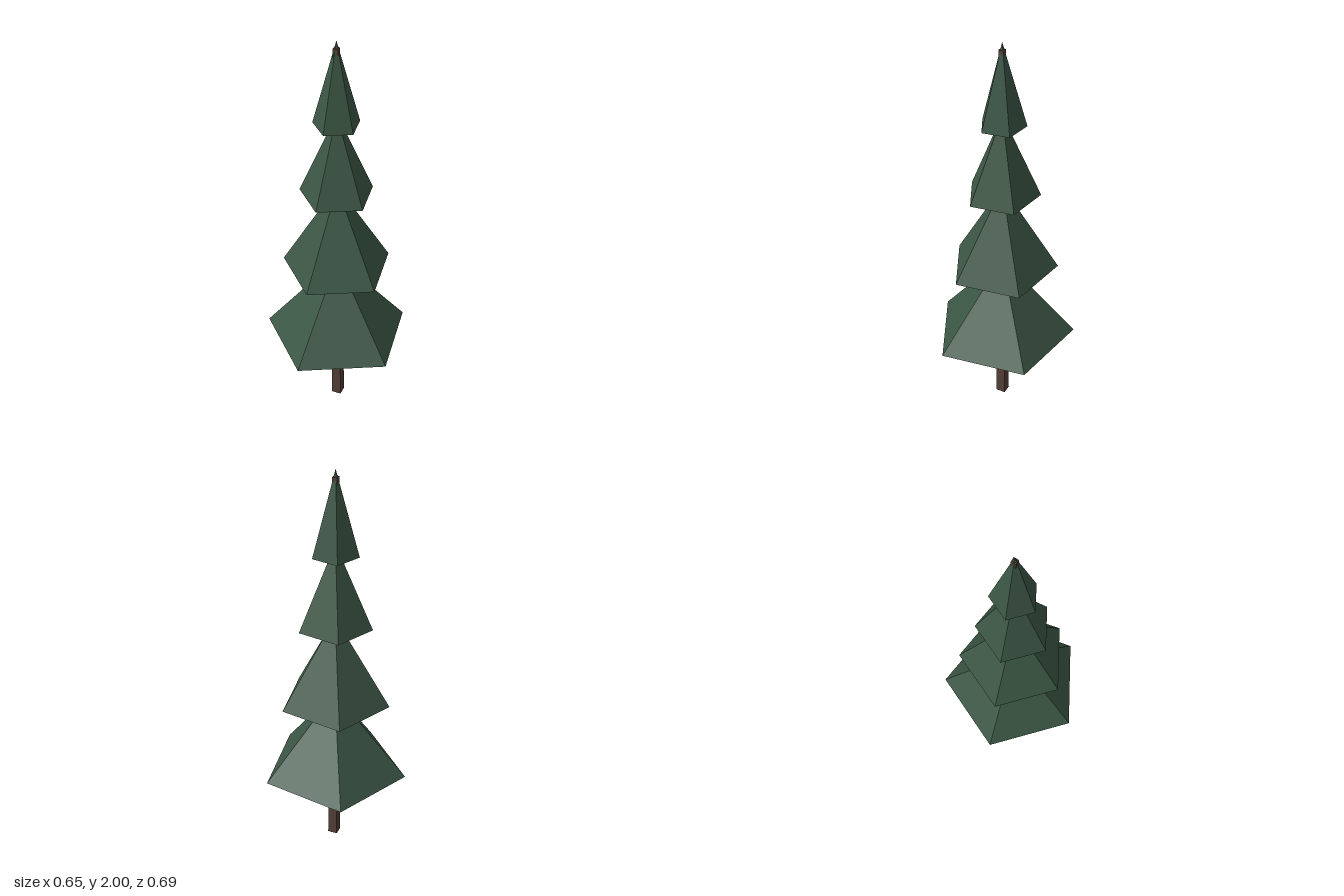
import * as THREE from 'three';

const AXIS_X = -0.0345; // the five-sided tiers are off-centre in their bounding box

export function createModel() {
  const tree = new THREE.Group();
  tree.name = 'pineTree';

  const needles = new THREE.MeshStandardMaterial({ color: 0x3b5644 });
  needles.name = 'needleGreen';
  const bark = new THREE.MeshStandardMaterial({ color: 0x553f38 });
  bark.name = 'barkBrown';

  // Tapered solid with one corner pointing along +x and flat facets
  function addTapered(name, material, sides, rTop, rBottom, y0, y1) {
    const tapered = new THREE.CylinderGeometry(rTop, rBottom, y1 - y0, sides, 1, false, Math.PI / 2);
    const geometry = tapered.toNonIndexed();
    geometry.computeVertexNormals();
    const mesh = new THREE.Mesh(geometry, material);
    mesh.name = name;
    mesh.position.set(AXIS_X, (y0 + y1) / 2, 0);
    tree.add(mesh);
  }

  // Square trunk running up through every tier, just breaking through the tip
  addTapered('trunk', bark, 4, 0.017, 0.034, 0, 1.965);

  // Foliage tiers, bottom to top: radius, base height, apex height
  const tiers = [
    [0.3615, 0.415, 0.86],
    [0.27, 0.82, 1.275],
    [0.18, 1.232, 1.65],
    [0.112, 1.595, 2.0],
  ];
  tiers.forEach(([radius, base, apex], i) => {
    addTapered(`foliageTier${i + 1}`, needles, 5, 0, radius, base, apex);
  });

  return tree;
}
